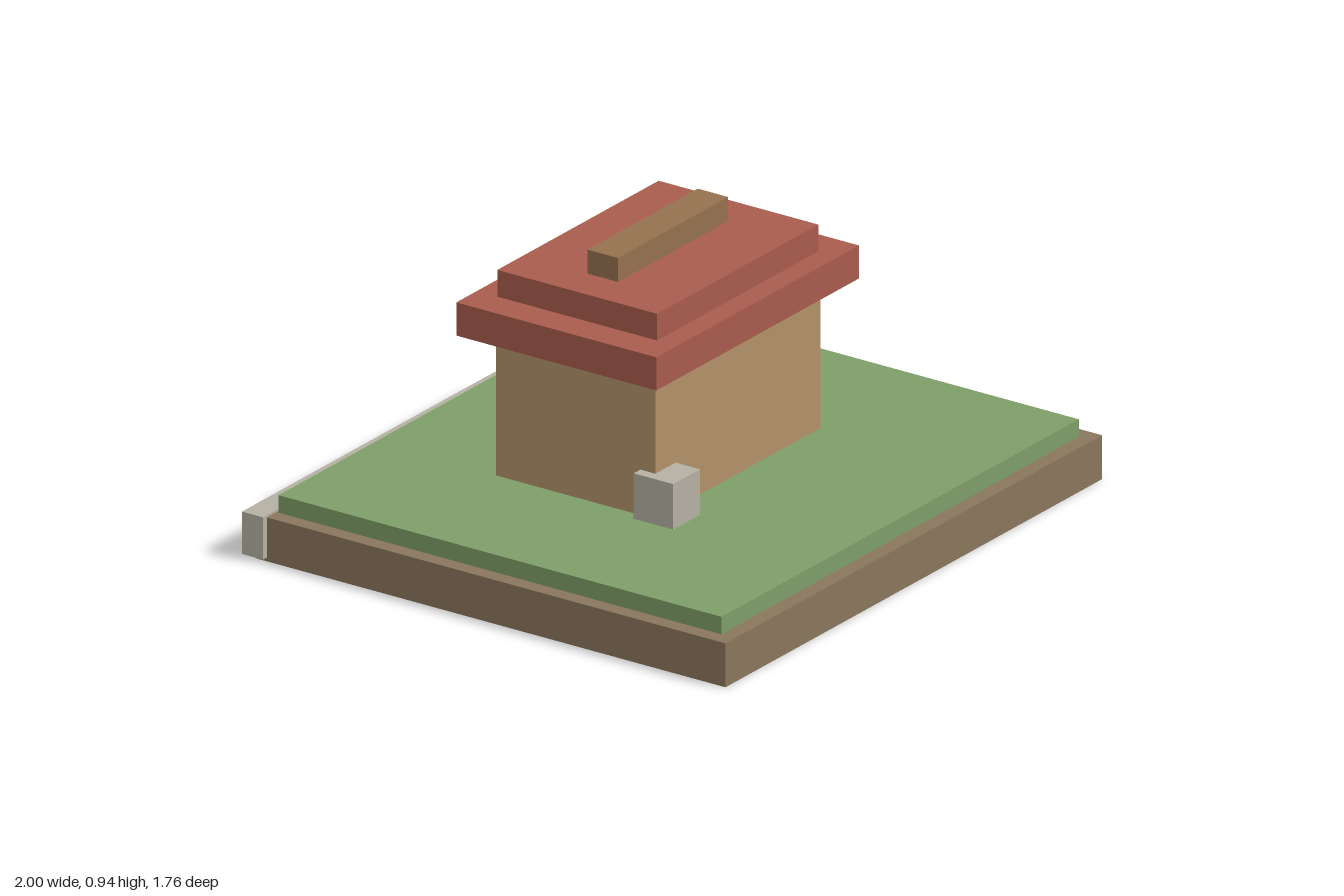
import * as THREE from 'three';

export function createModel() {
  const model = new THREE.Group();
  model.name = 'cottage';

  const mat = (color) => new THREE.MeshStandardMaterial({ color });
  const earth = mat(0x8a765c), grass = mat(0x7e9e68), stone = mat(0xb5b0a3);
  const wall = mat(0xb2926a), roof = mat(0xa85c4c), timber = mat(0x95714f);

  // box given by its extents along each axis
  function block(name, material, [x0, x1], [y0, y1], [z0, z1]) {
    const mesh = new THREE.Mesh(new THREE.BoxGeometry(x1 - x0, y1 - y0, z1 - z0), material);
    mesh.position.set((x0 + x1) / 2, (y0 + y1) / 2, (z0 + z1) / 2);
    mesh.name = name;
    model.add(mesh);
  }

  // ground
  block('earthBase', earth, [-0.98, 0.98], [0, 0.143], [-0.84, 0.88]);
  block('lawn', grass, [-0.93, 0.93], [0.143, 0.2], [-0.795, 0.83]);
  block('backKerb', stone, [-1, 1], [0.012, 0.15], [-0.88, -0.803]);

  // house
  block('houseWalls', wall, [-0.43, 0.43], [0.2, 0.67], [-0.35, 0.235]);
  block('stoneBlock', stone, [-0.465, -0.325], [0.2, 0.348], [0.18, 0.325]);

  // stepped roof
  block('roofEaves', roof, [-0.527, 0.527], [0.67, 0.778], [-0.427, 0.307]);
  block('roofUpper', roof, [-0.42, 0.42], [0.778, 0.865], [-0.352, 0.234]);
  block('roofRidge', timber, [-0.287, 0.287], [0.865, 0.943], [-0.115, -0.003]);

  return model;
}
